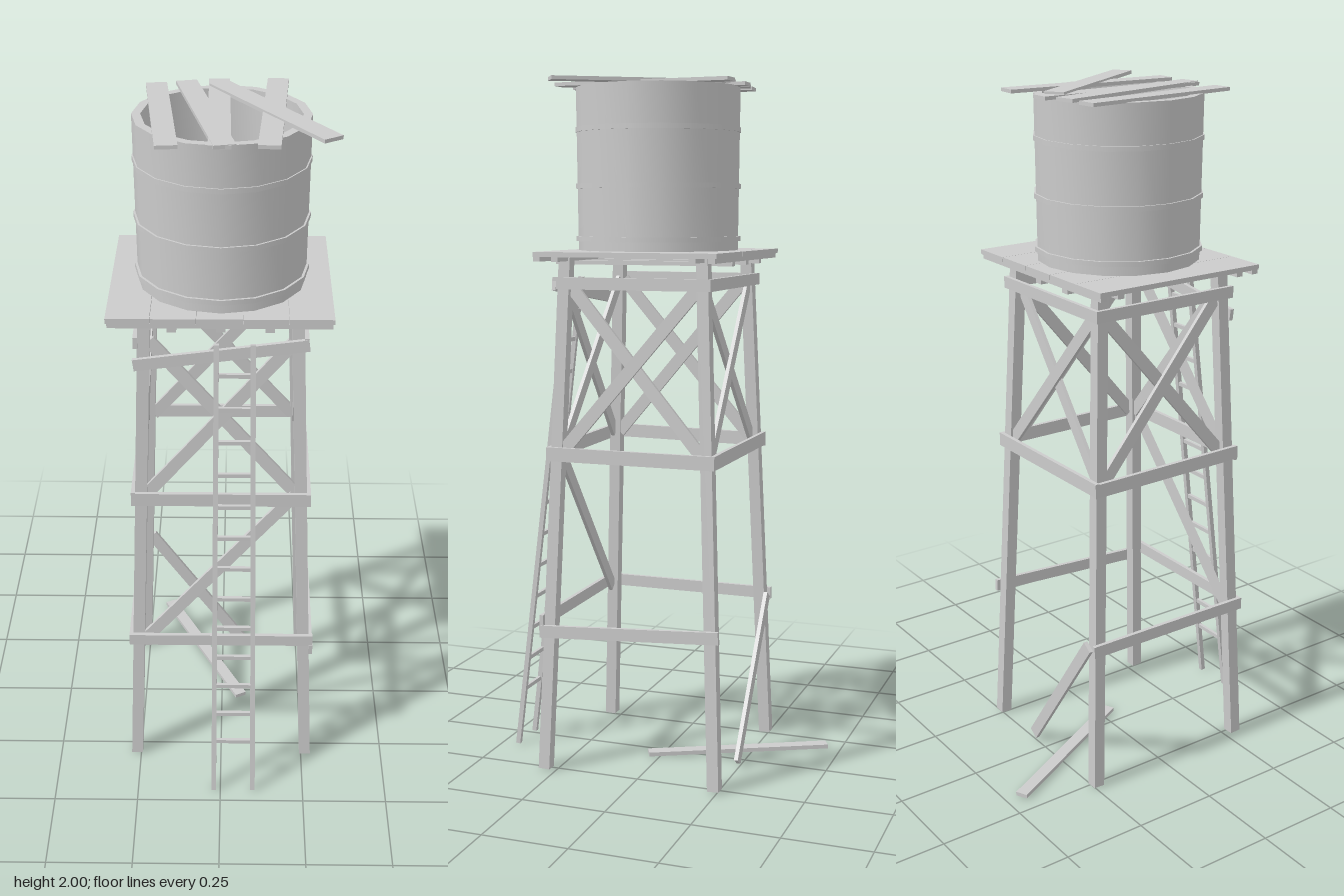
import * as THREE from 'three';
import { toCreasedNormals } from 'three/addons/utils/BufferGeometryUtils.js';

const material = new THREE.MeshStandardMaterial({ color: 0xcccccc });
const V = (x, y, z) => new THREE.Vector3(x, y, z);
const CENTRE_Z = 0.0225;

// Half spacing of the leg centres at a given height (the tower tapers)
const spread = (y) => 0.262 - 0.038 * y;

// Board from a to b; its thickness points along the outward direction
function board(name, a, b, width, thickness, outward) {
  const along = b.clone().sub(a);
  const length = along.length();
  along.normalize();
  const across = outward.clone().cross(along).normalize();
  const normal = along.clone().cross(across);
  const mesh = new THREE.Mesh(new THREE.BoxGeometry(length, width, thickness), material);
  mesh.quaternion.setFromRotationMatrix(new THREE.Matrix4().makeBasis(along, across, normal));
  mesh.position.copy(a).add(b).multiplyScalar(0.5);
  mesh.name = name;
  return mesh;
}

function box(name, x0, x1, y0, y1, z0, z1) {
  const mesh = new THREE.Mesh(new THREE.BoxGeometry(x1 - x0, y1 - y0, z1 - z0), material);
  mesh.position.set((x0 + x1) / 2, (y0 + y1) / 2, (z0 + z1) / 2);
  mesh.name = name;
  return mesh;
}

// Four splayed legs
function createLegs() {
  const legs = new THREE.Group();
  legs.name = 'legs';
  for (const sx of [-1, 1]) for (const sz of [-1, 1]) {
    const at = (y) => V(sx * spread(y), y, CENTRE_Z + sz * spread(y));
    legs.add(board('leg', at(0.005), at(1.505), 0.034, 0.034, V(0, 0, 1)));
  }
  return legs;
}

// Rails and cross braces of one tower face, built facing +z and then turned
function createFace(name, angle, rails) {
  const face = new THREE.Group();
  face.name = name;
  const out = V(0, 0, 1);
  for (const [y0, y1, width] of rails) {
    const y = (y0 + y1) / 2;
    const end = spread(y) + 0.028;
    const z = spread(y) + 0.022;
    face.add(board('rail', V(-end, y0, z), V(end, y1, z), width, 0.012, out));
  }
  for (const s of [-1, 1]) {
    const z = s * 0.005;
    face.add(board('crossBrace', V(-s * 0.215, 0.945, spread(0.945) + z),
      V(s * 0.195, 1.425, spread(1.425) + z), 0.036, 0.011, out));
  }
  face.rotation.y = angle;
  face.position.z = CENTRE_Z;
  return face;
}

// Deck planks on bearers and joists
function createPlatform() {
  const platform = new THREE.Group();
  platform.name = 'platform';
  const seams = [-0.305, -0.187, -0.065, 0.06, 0.18, 0.3];
  for (let i = 0; i < 5; i++) {
    platform.add(box('deckPlank', seams[i] + 0.0005, seams[i + 1] - 0.0005, 1.507, 1.521, -0.25, 0.29));
  }
  for (const z of [-0.235, -0.18, 0.225, 0.28]) {
    platform.add(box('bearer', -0.3, 0.295, 1.494, 1.507, z - 0.01, z + 0.01));
  }
  for (const x of [-0.13, 0, 0.13]) {
    platform.add(box('joist', x - 0.0125, x + 0.0125, 1.482, 1.494, -0.245, 0.288));
  }
  return platform;
}

// Open sixteen-sided tank with hoops
function createTank() {
  const tank = new THREE.Group();
  tank.name = 'tank';
  const profile = [[0, 1.522], [0.232, 1.522], [0.237, 1.985], [0.213, 1.985], [0.211, 1.53], [0, 1.53]];
  const wall = new THREE.Mesh(toCreasedNormals(new THREE.LatheGeometry(
    profile.map(([r, y]) => new THREE.Vector2(r, y)), 16), 0.6), material);
  wall.name = 'tankWall';
  tank.add(wall);
  for (const y of [1.555, 1.705, 1.865]) {
    const hoop = new THREE.Mesh(new THREE.CylinderGeometry(0.24, 0.24, 0.014, 16), material);
    hoop.geometry = toCreasedNormals(new THREE.LatheGeometry([
      [0.231, -0.007], [0.2395, -0.007], [0.2395, 0.007], [0.231, 0.007],
    ].map(([r, h]) => new THREE.Vector2(r, h)), 16), 0.6);
    hoop.position.y = y;
    hoop.name = 'hoop';
    tank.add(hoop);
  }
  tank.position.z = 0.025;
  return tank;
}

// Loose planks lying across the tank rim
function createRoof() {
  const roof = new THREE.Group();
  roof.name = 'roofPlanks';
  const planks = [
    [-0.182, -0.207, -0.135, 0.282, 1.988],
    [-0.1, -0.22, 0.01, 0.282, 1.99],
    [-0.01, -0.24, -0.003, 0.282, 1.9885],
    [0.152, -0.242, 0.12, 0.282, 1.9895],
    [-0.013, -0.195, 0.28, 0.24, 1.995],
  ];
  for (const [x0, z0, x1, z1, y] of planks) {
    roof.add(board('roofPlank', V(x0, y, z0), V(x1, y, z1), 0.058, 0.01, V(0, 1, 0)));
  }
  return roof;
}

// Leaning ladder, narrower at the top
function createLadder() {
  const ladder = new THREE.Group();
  ladder.name = 'ladder';
  const at = (x0, x1, y) => V(x0 + (x1 - x0) * y / 1.44, y, 0.452 - 0.176 * y / 1.44);
  const left = (y) => at(-0.02, -0.012, y);
  const right = (y) => at(0.098, 0.086, y);
  for (const side of [left, right]) {
    ladder.add(board('ladderRail', side(0.002), side(1.44), 0.014, 0.014, V(0, 0, 1)));
  }
  for (let i = 0; i < 13; i++) {
    const y = 0.178 + i * 0.0978;
    ladder.add(board('rung', left(y), right(y), 0.012, 0.01, V(0, 0, 1)));
  }
  return ladder;
}

export function createModel() {
  const model = new THREE.Group();
  model.name = 'waterTower';
  const top = [1.432, 1.432, 0.034];
  const middle = [0.943, 0.943, 0.04];
  const low = [0.452, 0.452, 0.036];

  const front = createFace('frontFace', 0, [[1.365, 1.428, 0.034], middle, low]);
  front.add(board('diagonalBrace', V(-0.225, 0.44, spread(0.44)),
    V(0.21, 0.945, spread(0.945)), 0.036, 0.011, V(0, 0, 1)));
  model.add(front);
  model.add(createFace('leftFace', Math.PI / 2, [top, middle, [0.42, 0.452, 0.036]]));
  model.add(createFace('rightFace', -Math.PI / 2, [top, [0.94, 0.946, 0.04], low]));
  model.add(createFace('backFace', Math.PI, [top, middle]));

  // Broken brace hanging at the back and a board fallen on the ground
  model.add(board('hangingBrace', V(-0.235, 0.455, -0.246), V(0.065, 0.018, -0.246), 0.036, 0.012, V(0, 0, -1)));
  model.add(board('fallenBoard', V(-0.188, 0.01, -0.455), V(0.062, 0.01, 0.035), 0.036, 0.012, V(0, 1, 0)));

  model.add(createLegs(), createPlatform(), createTank(), createRoof(), createLadder());
  return model;
}
